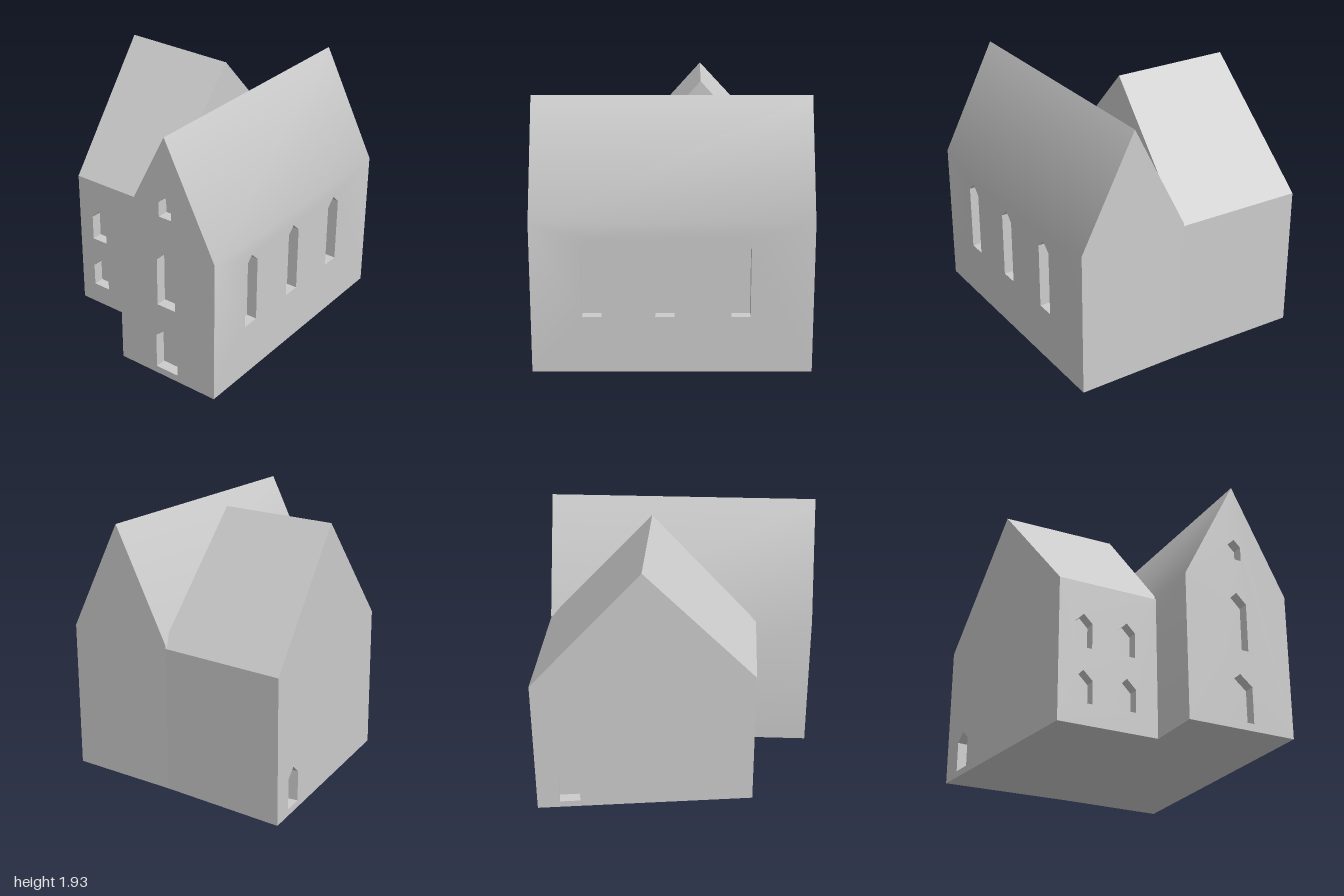
import * as THREE from 'three';
import { mergeGeometries, toCreasedNormals } from 'three/addons/utils/BufferGeometryUtils.js';

const DEPTH = 0.08; // window recess depth

const V = (x, y, z) => new THREE.Vector3(x, y, z);
const toVec2 = pts => pts.map(([x, y]) => new THREE.Vector2(x, y));

// flat convex polygon, corners counter-clockwise from outside
function polygon(pts) {
  const tris = [];
  for (let i = 1; i < pts.length - 1; i++) tris.push(pts[0], pts[i], pts[i + 1]);
  return new THREE.BufferGeometry().setFromPoints(tris);
}

function flatShape(shape) {
  const g = new THREE.ShapeGeometry(shape).toNonIndexed();
  g.deleteAttribute('uv');
  g.deleteAttribute('normal');
  return g;
}

// pointed opening: centre, width, sill, spring and apex heights
function opening([c, w, sill, spring, apex]) {
  const l = c - w / 2, r = c + w / 2;
  return [[l, sill], [r, sill], [r, spring], [c, apex], [l, spring]];
}

// jambs and back of one recess, in wall coordinates
function recess(pts) {
  const back = flatShape(new THREE.Shape(toVec2(pts))).translate(0, 0, -DEPTH);
  const jambs = pts.map(([x, y], i) => {
    const [X, Y] = pts[(i + 1) % pts.length];
    return polygon([V(x, y, 0), V(X, Y, 0), V(X, Y, -DEPTH), V(x, y, -DEPTH)]);
  });
  const g = mergeGeometries([back, ...jambs]);
  g.computeVertexNormals();
  return g;
}

// upright wall from plan point a to b (left to right from outside)
function wall(a, b, eave, ridge, windows = []) {
  const u = V(b[0] - a[0], 0, b[1] - a[1]);
  const len = u.length();
  u.normalize();
  const up = V(0, 1, 0);
  const m = new THREE.Matrix4().makeBasis(u, up, u.clone().cross(up)).setPosition(a[0], 0, a[1]);
  const outline = [[0, 0], [len, 0], [len, eave]];
  if (ridge) outline.push([len / 2, ridge]);
  outline.push([0, eave]);
  const shape = new THREE.Shape(toVec2(outline));
  const holes = windows.map(opening);
  holes.forEach(h => shape.holes.push(new THREE.Path(toVec2(h))));
  return {
    face: flatShape(shape).applyMatrix4(m),
    recesses: holes.map(h => recess(h).applyMatrix4(m)),
  };
}

// closed gabled block; walls and roof share soft normals where they meet shallowly
function building(name, walls, roofs, base, material) {
  const group = new THREE.Group();
  group.name = name;
  const shell = mergeGeometries([...walls.map(w => w.face), ...roofs.map(polygon), polygon(base)]);
  shell.computeVertexNormals();
  const mesh = new THREE.Mesh(toCreasedNormals(shell, 0.52), material);
  mesh.name = name + 'Shell';
  group.add(mesh);
  walls.flatMap(w => w.recesses).forEach(g => {
    const r = new THREE.Mesh(g, material);
    r.name = 'windowRecess';
    group.add(r);
  });
  return group;
}

export function createModel() {
  const stone = new THREE.MeshStandardMaterial({ color: 0xcccccc });
  stone.name = 'paleStone';
  const model = new THREE.Group();
  model.name = 'gabledHouse';

  // tall hall running front to back
  const x0 = 0.06, x1 = 0.89, xm = 0.475, z0 = -0.97, z1 = 1, he = 1.09, hr = 1.9;
  const hallWalls = [
    wall([x0, z1], [x1, z1], he, hr, [
      [0.415, 0.19, 0.055, 0.325, 0.405],
      [0.415, 0.155, 0.59, 0.955, 1.03],
      [0.415, 0.105, 1.3, 1.41, 1.46],
    ]),
    wall([x1, z1], [x1, z0], he, 0, [0.575, 0.065, -0.465].map(z => [z1 - z, 0.135, 0.41, 0.905, 0.97])),
    wall([x1, z0], [x0, z0], he, hr),
    wall([x0, z0], [x0, z1], he, 0),
  ];
  const hallRoofs = [
    [V(x1, he, z1), V(x1, he, z0), V(xm, hr, z0), V(xm, hr, z1)],
    [V(x0, he, z0), V(x0, he, z1), V(xm, hr, z1), V(xm, hr, z0)],
  ];
  const hallBase = [V(x0, 0, z0), V(x1, 0, z0), V(x1, 0, z1), V(x0, 0, z1)];
  model.add(building('hall', hallWalls, hallRoofs, hallBase, stone));

  // skewed side wing, plan corners: front left-hand, front inner, back inner, back outer
  const we = 1.07, wr = 1.93;
  const plan = [[-0.705, 0.58], [0.075, 0.58], [0.096, -0.969], [-0.893, -1]];
  const [a, b, c, d] = plan;
  const at = (p, y) => V(p[0], y, p[1]);
  const mid = (p, q) => V((p[0] + q[0]) / 2, wr, (p[1] + q[1]) / 2);
  const frontWindows = [-0.515, -0.18].flatMap(x => [
    [x - a[0], 0.14, 0.16, 0.33, 0.4],
    [x - a[0], 0.13, 0.57, 0.76, 0.825],
  ]);
  const wingWalls = [
    wall(a, b, we, 0, frontWindows),
    wall(b, c, we, wr),
    wall(c, d, we, 0),
    wall(d, a, we, wr, [[0.24, 0.15, 0.05, 0.275, 0.34]]),
  ];
  const outer = mid(d, a), inner = mid(b, c);
  const wingRoofs = [
    [at(a, we), at(b, we), inner, outer],
    [at(c, we), at(d, we), outer, inner],
  ];
  const wingBase = [d, c, b, a].map(p => at(p, 0));
  model.add(building('wing', wingWalls, wingRoofs, wingBase, stone));

  return model;
}
